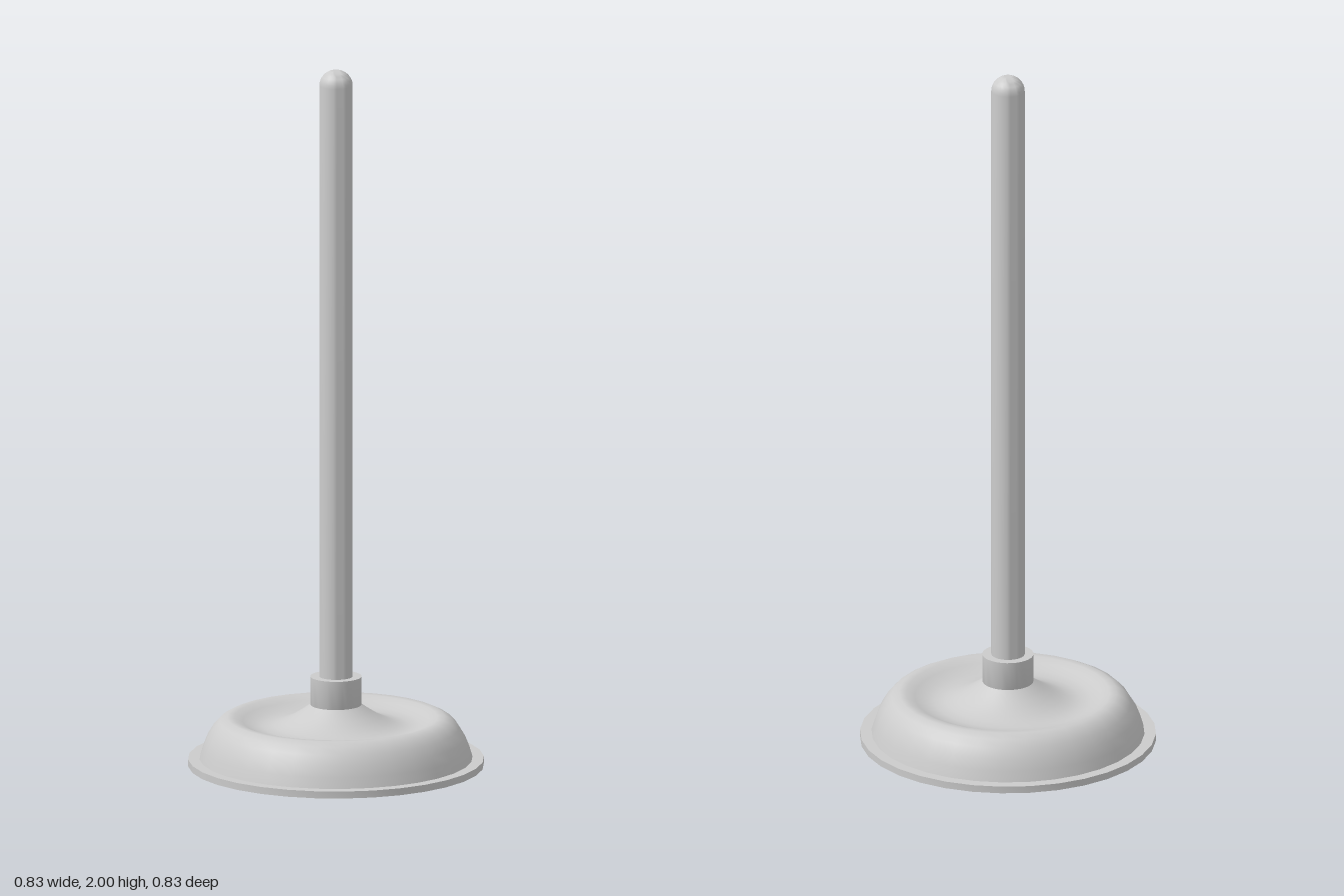
import * as THREE from 'three';
import { toCreasedNormals } from 'three/addons/utils/BufferGeometryUtils.js';

const material = new THREE.MeshStandardMaterial({ color: 0xcccccc });

// Turned part: profile of [radius, height] pairs, listed from bottom to top.
function turned(name, profile, segments = 32) {
  const points = profile.map(([r, y]) => new THREE.Vector2(r, y));
  const geometry = toCreasedNormals(new THREE.LatheGeometry(points, segments), 0.8);
  const mesh = new THREE.Mesh(geometry, material);
  mesh.name = name;
  return mesh;
}

export function createModel() {
  const model = new THREE.Group();
  model.name = 'plunger';

  // Thin flange closing the bottom
  model.add(turned('flange', [[0, 0], [0.415, 0], [0.415, 0.02], [0.36, 0.02]]));

  // Rubber cup: rounded shoulder, shallow ring valley, cone up to the collar
  model.add(turned('cup', [
    [0.383, 0.02], [0.374, 0.05], [0.362, 0.08], [0.345, 0.108],
    [0.327, 0.127], [0.305, 0.138], [0.285, 0.137], [0.262, 0.127],
    [0.235, 0.117], [0.205, 0.113], [0.175, 0.117], [0.15, 0.126],
    [0.125, 0.138], [0.095, 0.157], [0.07, 0.175],
  ]));

  // Collar gripping the handle
  model.add(turned('collar', [
    [0.07, 0.17], [0.072, 0.175], [0.072, 0.255], [0.045, 0.255],
  ]));

  // Straight handle with a domed end
  const radius = 0.047, domeHeight = 0.045, steps = 8;
  const handle = [[0, 0.16], [radius, 0.16], [radius, 2 - domeHeight]];
  for (let i = 1; i <= steps; i++) {
    const a = (i / steps) * Math.PI / 2;
    handle.push([i === steps ? 0 : radius * Math.cos(a), 2 - domeHeight + domeHeight * Math.sin(a)]);
  }
  model.add(turned('handle', handle));

  return model;
}
